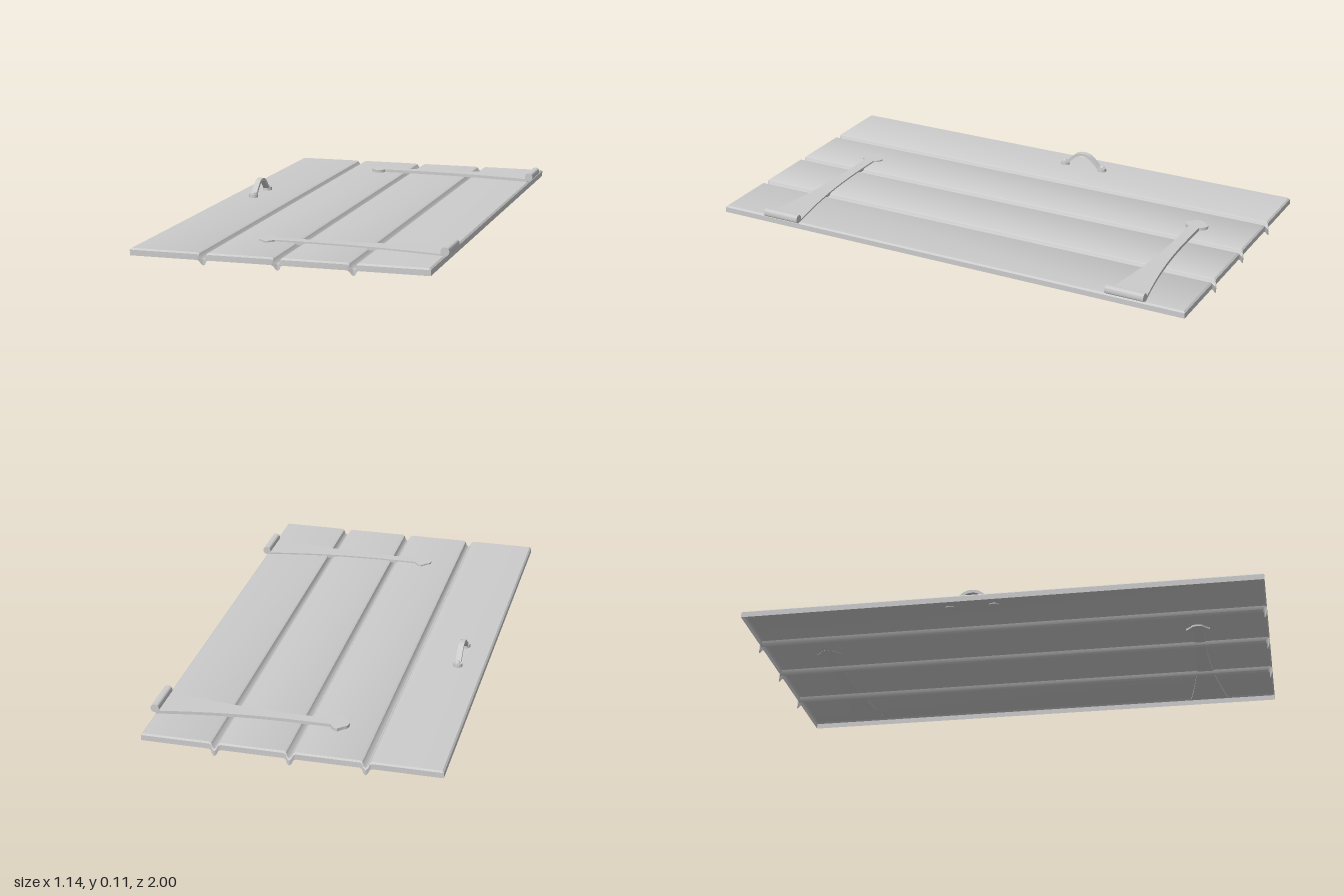
import * as THREE from 'three';
import { toCreasedNormals } from 'three/addons/utils/BufferGeometryUtils.js';

const TOP = 0.049; // height of the board faces
const grey = new THREE.MeshStandardMaterial({ color: 0xcccccc, side: THREE.DoubleSide });

function add(parent, name, geometry, x = 0, y = 0, z = 0) {
  const mesh = new THREE.Mesh(toCreasedNormals(geometry, 0.6), grey);
  mesh.name = name;
  mesh.position.set(x, y, z);
  parent.add(mesh);
  return mesh;
}

// Open-bottomed sheet: boards with V grooves, bevelled rim and a skirt all round
function boardGeometry() {
  const cols = [[-0.57, 0.022], [-0.57, 0.043], [-0.564, TOP]];
  for (const c of [-0.29, -0.01, 0.27]) {
    for (const [dx, y] of [[-0.022, TOP], [-0.014, 0.045], [-0.008, 0.033], [0, 0.027],
      [0.008, 0.033], [0.014, 0.045], [0.022, TOP]]) cols.push([c + dx, y]);
  }
  cols.push([0.544, TOP], [0.55, 0.043], [0.55, 0.022]);
  // z of each row and how far it drops below the section
  const rows = [[0.999, 0.027], [0.999, 0.006], [0.993, 0], [-0.983, 0], [-0.989, 0.006], [-0.989, 0.027]];
  const n = cols.length, pos = [], index = [];
  for (const [z, drop] of rows) {
    cols.forEach(([x, y], i) => {
      const side = i < 2 || i > n - 3;
      const lean = side ? 0 : (TOP - y) * 0.5; // the groove ends lean backwards
      pos.push(x, side ? Math.max(0.022, Math.min(y, TOP - drop)) : y - drop, z - lean);
    });
  }
  for (let r = 0; r < rows.length - 1; r++) {
    for (let i = 0; i < n - 1; i++) {
      const a = r * n + i, b = a + 1, c = a + n, d = c + 1;
      index.push(a, b, d, a, d, c);
    }
  }
  const g = new THREE.BufferGeometry();
  g.setAttribute('position', new THREE.Float32BufferAttribute(pos, 3));
  g.setIndex(index);
  return g;
}

// Flared strap with a leaf-shaped tip
function strapGeometry() {
  const s = new THREE.Shape();
  s.moveTo(0.545, -0.077);
  s.bezierCurveTo(0.38, -0.045, 0.22, -0.021, 0, -0.021);
  s.lineTo(-0.107, -0.021);
  s.quadraticCurveTo(-0.115, -0.045, -0.138, -0.047);
  s.quadraticCurveTo(-0.155, -0.027, -0.167, -0.02);
  s.quadraticCurveTo(-0.178, 0, -0.167, 0.02);
  s.quadraticCurveTo(-0.155, 0.027, -0.138, 0.047);
  s.quadraticCurveTo(-0.115, 0.045, -0.107, 0.021);
  s.lineTo(0, 0.021);
  s.bezierCurveTo(0.22, 0.021, 0.38, 0.045, 0.545, 0.077);
  s.closePath();
  return new THREE.ExtrudeGeometry(s, { depth: 0.013, bevelEnabled: false, curveSegments: 12 }).rotateX(Math.PI / 2);
}

// Bell-curved flat bar, drawn from the side and given a width
function gripGeometry() {
  const half = [[0.088, 0.06], [0.072, 0.063], [0.052, 0.082], [0.027, 0.102]];
  const path = [...half.map(([z, y]) => [-z, y]), [0, 0.108], ...half.slice().reverse()];
  const curve = new THREE.SplineCurve(path.map(([z, y]) => new THREE.Vector2(z, y)));
  const upper = [], lower = [];
  for (let i = 0; i <= 40; i++) {
    const p = curve.getPoint(i / 40), t = curve.getTangent(i / 40);
    const normal = new THREE.Vector2(-t.y, t.x).multiplyScalar(0.006);
    upper.push(p.clone().add(normal));
    lower.unshift(p.clone().sub(normal));
  }
  return new THREE.ExtrudeGeometry(new THREE.Shape([...upper, ...lower]), { depth: 0.022, bevelEnabled: false })
    .translate(0, 0, -0.011).rotateY(-Math.PI / 2);
}

export function createModel() {
  const model = new THREE.Group();
  model.name = 'plankDoor';
  add(model, 'boards', boardGeometry());

  // Strap hinges with round barrels; the front one sits slightly lower
  for (const [name, z, lift] of [['backHinge', -0.757, 0.006], ['frontHinge', 0.725, 0]]) {
    const hinge = new THREE.Group();
    hinge.name = name;
    hinge.position.set(0, lift, z);
    add(hinge, 'strap', strapGeometry(), 0, 0.055, 0);
    add(hinge, 'barrel', new THREE.CylinderGeometry(0.0165, 0.0165, 0.154, 24).rotateX(Math.PI / 2), 0.55, 0.064, 0);
    model.add(hinge);
  }

  // Pull handle on two round plates with studs
  const handle = new THREE.Group();
  handle.name = 'handle';
  handle.position.set(-0.467, 0, -0.11);
  add(handle, 'grip', gripGeometry());
  for (const side of [-1, 1]) {
    add(handle, 'plate', new THREE.CylinderGeometry(0.018, 0.019, 0.017, 20), 0, 0.0545, side * 0.085);
    add(handle, 'stud', new THREE.SphereGeometry(0.01, 16, 6, 0, Math.PI * 2, 0, Math.PI / 2), 0, 0.063, side * 0.087);
  }
  model.add(handle);
  return model;
}
